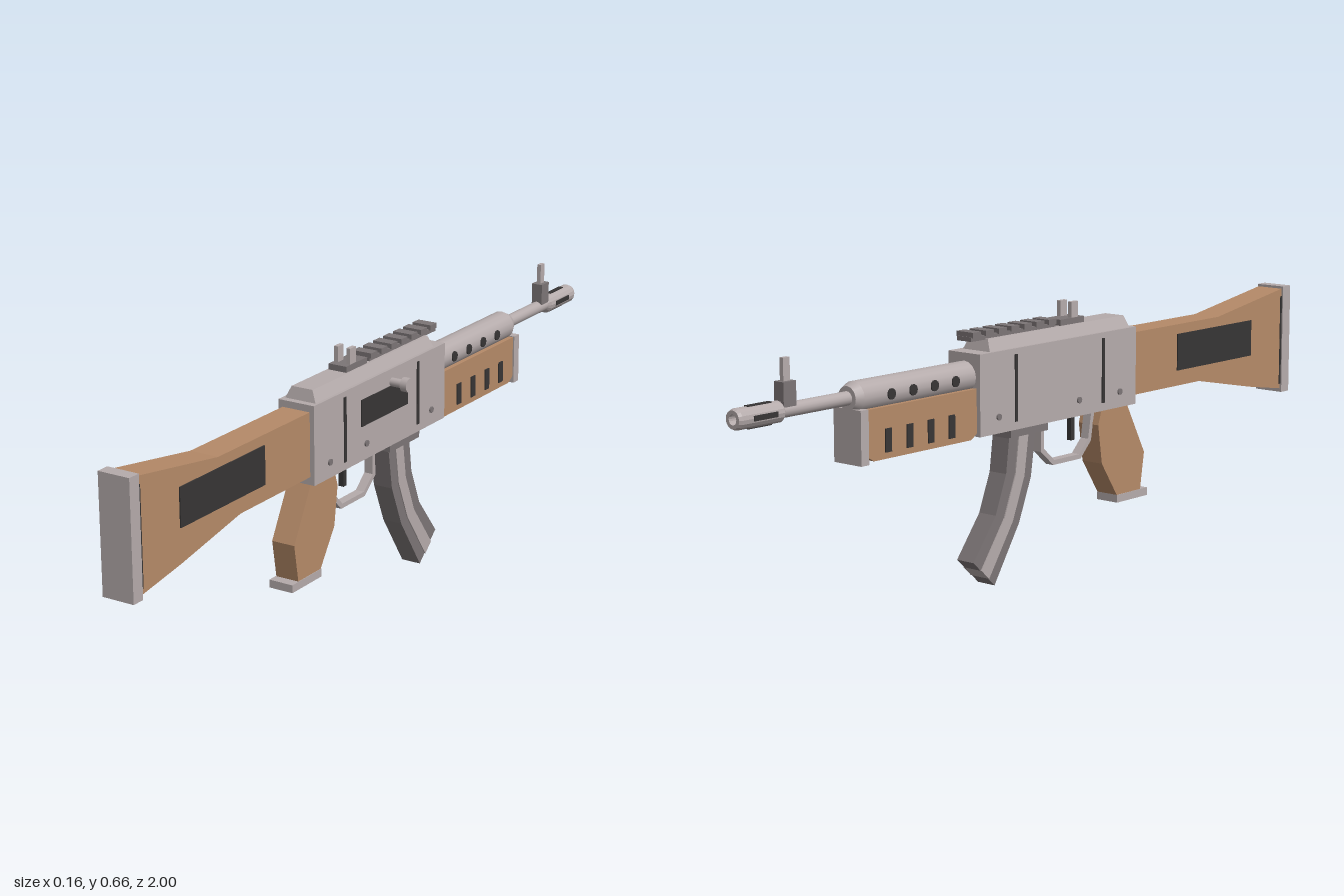
import * as THREE from 'three';

const mat = (name, color) => Object.assign(new THREE.MeshStandardMaterial({ color }), { name });

export function createModel() {
  const light = mat('light metal', 0xb5abab);
  const mid = mat('mid metal', 0x7c7576);
  const dark = mat('dark inlay', 0x373535);
  const wood = mat('wood', 0xb58a68);

  const root = new THREE.Group();
  root.name = 'rifle';
  const body = new THREE.Group();
  body.name = 'body';
  body.position.x = -0.024; // the bolt handle puts the body off centre
  root.add(body);

  const add = (name, geo, material) => {
    const m = new THREE.Mesh(geo, material);
    m.name = name;
    body.add(m);
    return m;
  };
  // Box from its width, height range and length range
  const box = (name, material, w, y0, y1, z0, z1, x = 0) => {
    const g = new THREE.BoxGeometry(w, y1 - y0, Math.abs(z1 - z0));
    g.translate(x, (y0 + y1) / 2, (z0 + z1) / 2);
    return add(name, g, material);
  };
  // Side profile of [z, y] points, extruded across x
  const slab = (name, material, w, pts) => {
    const shape = new THREE.Shape(pts.map(([z, y]) => new THREE.Vector2(z, y)));
    const g = new THREE.ExtrudeGeometry(shape, { depth: w, bevelEnabled: false });
    g.translate(0, 0, -w / 2).rotateY(-Math.PI / 2);
    return add(name, g, material);
  };
  // Cylinder along z, from z0 (rear) to z1 (front)
  const AXIS = 0.521;
  const rod = (name, material, rRear, rFront, z0, z1) => {
    const g = new THREE.CylinderGeometry(rFront, rRear, z0 - z1, 16);
    g.rotateX(-Math.PI / 2).translate(0, AXIS, (z0 + z1) / 2);
    return add(name, g, material);
  };
  // Cylinder along x
  const pin = (name, material, r, x0, x1, y, z, seg = 12) => {
    const g = new THREE.CylinderGeometry(r, r, Math.abs(x1 - x0), seg);
    g.rotateZ(Math.PI / 2).translate((x0 + x1) / 2, y, z);
    return add(name, g, material);
  };

  // Stock and butt plate
  slab('stock', wood, 0.076, [[0.32, 0.40], [0.6, 0.40], [0.825, 0.355], [0.965, 0.332],
    [0.965, 0.605], [0.68, 0.56], [0.32, 0.56]]);
  box('buttPlate', light, 0.084, 0.322, 0.611, 0.967, 1);
  box('buttSpacer', dark, 0.078, 0.345, 0.585, 0.96, 0.967);

  // Receiver with bevelled top cover
  box('receiver', light, 0.1, 0.38, 0.577, -0.265, 0.32);
  const cover = new THREE.BoxGeometry(0.086, 0.03, 0.525);
  const p = cover.attributes.position;
  for (let i = 0; i < p.count; i++) {
    if (p.getY(i) > 0) {
      p.setX(i, p.getX(i) * 0.68);
      p.setZ(i, p.getZ(i) * 0.97);
    }
  }
  cover.computeVertexNormals();
  cover.translate(0, 0.591, 0.04);
  add('topCover', cover, light);
  box('ejectionPort', dark, 0.004, 0.468, 0.535, -0.088, 0.12, 0.051);

  // Details on both sides
  for (const s of [-1, 1]) {
    box('stockPanel', dark, 0.004, 0.44, 0.535, 0.505, 0.825, s * 0.039);
    for (const z of [0.19, -0.137]) box('receiverSeam', dark, 0.004, 0.4, 0.563, z - 0.005, z + 0.005, s * 0.05);
    for (const z of [0.255, 0.097, -0.2]) pin('receiverPin', mid, 0.008, s * 0.045, s * 0.054, 0.42, z);
    for (let i = 0; i < 4; i++) {
      pin('ventHole', dark, 0.013, s * 0.03, s * 0.039, AXIS, -0.335 - i * 0.0715, 10);
      box('handguardSlot', dark, 0.004, 0.39, 0.445, -0.363 - i * 0.0705, -0.343 - i * 0.0705, s * 0.04);
    }
    box('muzzleSlot', dark, 0.006, AXIS - 0.006, AXIS + 0.006, -0.96, -0.89, s * 0.0228);
  }

  // Bolt handle
  pin('boltHandle', light, 0.011, 0.05, 0.085, 0.543, -0.018, 16);
  pin('boltKnob', light, 0.018, 0.083, 0.101, 0.543, -0.018, 16);

  // Handguard
  slab('lowerHandguard', wood, 0.078, [[-0.265, 0.388], [-0.285, 0.375], [-0.61, 0.375],
    [-0.632, 0.388], [-0.632, 0.495], [-0.265, 0.495]].reverse());
  box('handguardCap', light, 0.086, 0.37, 0.497, -0.655, -0.63);
  rod('upperHandguard', light, 0.037, 0.037, -0.26, -0.635);
  rod('handguardCollar', light, 0.037, 0.028, -0.635, -0.655);

  // Barrel and hollow muzzle
  rod('barrel', light, 0.0165, 0.0165, -0.64, -0.87);
  const muzzle = new THREE.LatheGeometry([[0.0165, 0.86], [0.0245, 0.868], [0.0245, 0.992],
    [0.021, 1], [0.012, 1], [0.012, 0.95]].map(([r, y]) => new THREE.Vector2(r, y)), 16).toNonIndexed();
  muzzle.computeVertexNormals();
  muzzle.rotateX(-Math.PI / 2).translate(0, AXIS, 0);
  const muzzleMesh = add('muzzle', muzzle, light);
  muzzleMesh.material.side = THREE.DoubleSide;
  rod('bore', dark, 0.012, 0.012, -0.94, -0.975);
  for (const s of [-1, 1]) {
    const y = AXIS + s * 0.0228;
    box('muzzleSlot', dark, 0.012, y - 0.003, y + 0.003, -0.96, -0.89);
  }

  // Sights
  box('frontSightBlock', mid, 0.03, 0.53, 0.586, -0.863, -0.825);
  box('frontSightPost', light, 0.011, 0.586, 0.638, -0.854, -0.834);
  box('rearSightBase', mid, 0.05, 0.603, 0.621, 0.055, 0.145);
  for (const s of [-1, 1]) box('rearSightProng', light, 0.011, 0.615, 0.66, 0.1, 0.125, s * 0.0175);

  // Accessory rail
  box('railBase', mid, 0.044, 0.604, 0.615, -0.265, 0.04);
  for (let i = 0; i < 7; i++) {
    const z = 0.025 - i * 0.0457;
    box('railTooth', mid, 0.053, 0.613, 0.626, z - 0.014, z + 0.014);
  }

  // Grip
  slab('grip', wood, 0.063, [[0.305, 0.385], [0.38, 0.245], [0.365, 0.15], [0.27, 0.15],
    [0.21, 0.24], [0.195, 0.34], [0.21, 0.385]]);
  box('gripBase', light, 0.066, 0.13, 0.15, 0.27, 0.392);

  // Trigger and its guard: an outline with an inner offset
  slab('triggerGuard', light, 0.024, [[0.205, 0.385], [0.19, 0.3], [0.15, 0.26], [0.045, 0.26],
    [-0.002, 0.3], [-0.002, 0.385], [0.01, 0.385], [0.01, 0.306], [0.049, 0.272], [0.145, 0.272],
    [0.179, 0.306], [0.193, 0.385]]);
  box('trigger', dark, 0.014, 0.31, 0.385, 0.119, 0.132);

  // Curved magazine with a raised band on each side
  const rear = [[-0.04, 0.385], [-0.04, 0.355], [-0.056, 0.25], [-0.1, 0.142], [-0.19, 0.003]];
  const front = [[-0.136, 0.385], [-0.136, 0.355], [-0.147, 0.27], [-0.185, 0.174], [-0.265, 0.072]];
  const between = (t) => rear.map(([z, y], i) => [z + (front[i][0] - z) * t, y + (front[i][1] - y) * t]);
  const strip = (a, b) => [...between(a), ...between(b).reverse()];
  slab('magazine', mid, 0.053, strip(0, 1));
  slab('magazineBand', light, 0.059, strip(0.3, 0.66));
  box('magazineCollar', mid, 0.092, 0.361, 0.382, -0.152, -0.016);

  // Stand exactly on the ground
  root.updateMatrixWorld(true);
  body.position.y = -new THREE.Box3().setFromObject(root).min.y;
  return root;
}
